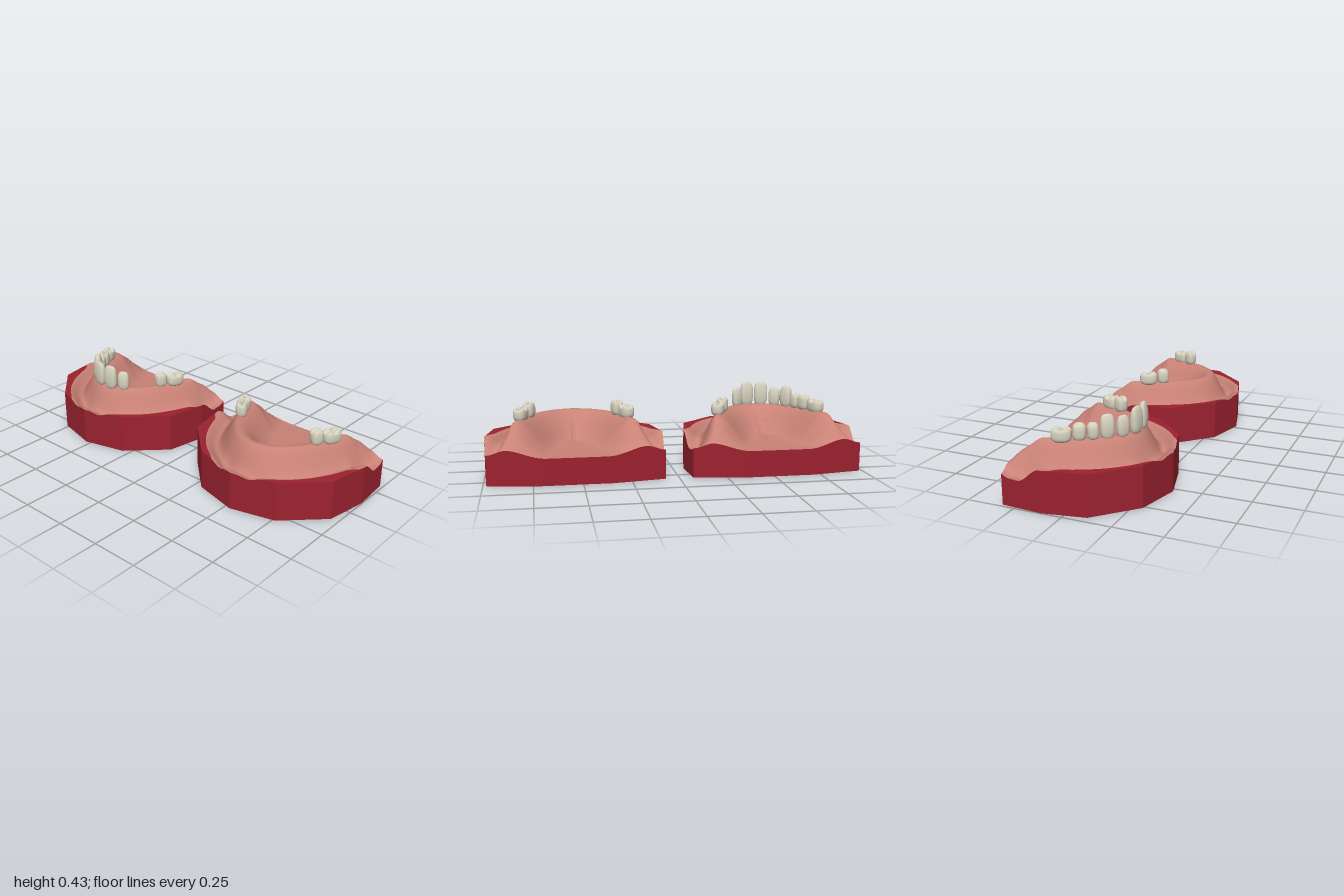
import * as THREE from 'three';

const gumMat = new THREE.MeshStandardMaterial({ color: 0xc98276 });
gumMat.name = 'gum pink';
const baseMat = new THREE.MeshStandardMaterial({ color: 0x9c2230 });
baseMat.name = 'base red';
const toothMat = new THREE.MeshStandardMaterial({ color: 0xd6d1be });
toothMat.name = 'tooth ivory';

const { smoothstep, lerp } = THREE.MathUtils;
const V = (x, y, z) => new THREE.Vector3(x, y, z);

// Half outline of the base block (x, z), front to back, then mirrored
const half = [[0, 0.36], [0.235, 0.3], [0.43, 0.11], [0.47, -0.11], [0.455, -0.32], [0.18, -0.365]];
const outline = [...half, ...half.slice(1).reverse().map(([x, z]) => [-x, z])];

// Crest line of the dental arch, from left back round the front to right back
const arch = [[0.38, -0.46], [0.345, -0.34], [0.315, -0.22], [0.28, -0.11], [0.235, 0], [0.18, 0.085], [0.1, 0.155]];
const crest = new THREE.CatmullRomCurve3([
  ...arch.map(([x, z]) => V(x, 0, z)), V(0, 0, 0.185),
  ...arch.slice().reverse().map(([x, z]) => V(-x, 0, z)),
]).getPoints(140);

// Signed distance from the crest line, positive on the outside of the arch
function archDistance(x, z) {
  let best = Infinity, sign = 1;
  for (let i = 0; i < crest.length - 1; i++) {
    const a = crest[i], b = crest[i + 1];
    const tx = b.x - a.x, tz = b.z - a.z;
    const k = THREE.MathUtils.clamp(((x - a.x) * tx + (z - a.z) * tz) / (tx * tx + tz * tz), 0, 1);
    const dx = x - a.x - tx * k, dz = z - a.z - tz * k;
    const d = Math.hypot(dx, dz);
    if (d < best) {
      best = d;
      sign = dx * tz - dz * tx >= 0 ? 1 : -1;
    }
  }
  return best * sign;
}

// Height of the block's rim: dips either side of the front and drops at the back
function rimHeight(x, z) {
  const front = smoothstep(z, 0.2, 0.3);
  const ax = Math.abs(x);
  const dip = 0.02 * Math.exp(-(((ax - 0.09) / 0.045) ** 2)) + 0.006 * Math.exp(-((x / 0.05) ** 2));
  const back = smoothstep(-z, 0.11, 0.23);
  return 0.21 - front * dip - 0.07 * back + 0.018 * smoothstep(-z, 0.28, 0.33);
}

// Width of the pink surface outside the crest; it reaches the block's edge at front and back
const pinkReach = (x, z) =>
  0.16 + 0.06 * smoothstep(-z, 0.02, 0.14) + (z > 0 ? 0.035 * (1 - smoothstep(Math.abs(x), 0.08, 0.2)) : 0);

// Height of the gum: ridge, outer trough and inner bowl
function gumHeight(x, z, detailed) {
  const d = archDistance(x, z);
  const top = 0.3 - 0.05 * smoothstep(-z, 0.18, 0.27) - 0.08 * smoothstep(-z, 0.25, 0.365);
  if (d > 0) {
    const rim = rimHeight(x, z);
    const trough = rim - 0.038 * (1 - smoothstep(-z, 0.1, 0.28));
    return lerp(lerp(top, trough, smoothstep(d, 0, 0.1)), rim, smoothstep(d, 0.1, 0.165));
  }
  const floor = lerp(0.14, 0.155, smoothstep(z, -0.35, 0.05));
  let y = lerp(top, floor, smoothstep(-d, 0.005, 0.19));
  const inner = smoothstep(-d, 0.05, 0.1);
  const seam = Math.exp(-((x / 0.007) ** 2));
  if (detailed) {
    // Central seam and cross folds of the palate
    const fold = smoothstep(z, -0.04, 0.03) * smoothstep(Math.abs(x), 0.01, 0.04);
    y += inner * (0.004 * fold * Math.sin(z * 160 + Math.abs(x) * 40) - 0.008 * seam * smoothstep(z, -0.12, -0.08));
  } else {
    y -= inner * 0.01 * seam * smoothstep(z, 0, 0.03);
  }
  return y;
}

// Skin between closed loops of equal length
function loft(loops) {
  const n = loops[0].length, index = [];
  for (let i = 0; i < loops.length - 1; i++) {
    for (let j = 0; j < n; j++) {
      const a = i * n + j, b = i * n + ((j + 1) % n);
      index.push(a, a + n, b + n, a, b + n, b);
    }
  }
  const g = new THREE.BufferGeometry();
  g.setAttribute('position', new THREE.Float32BufferAttribute(loops.flat().flatMap((p) => [p.x, p.y, p.z]), 3));
  g.setIndex(index);
  return g;
}

function mesh(name, geometry, material) {
  const m = new THREE.Mesh(geometry, material);
  m.name = name;
  return m;
}

// One cast: gum surface over a faceted block
function makeCast(detailed) {
  const STEPS = 16, RINGS = 56, cz = -0.1;
  const rays = [];
  outline.forEach(([x0, z0], k) => {
    const [x1, z1] = outline[(k + 1) % outline.length];
    for (let s = 0; s < STEPS; s++) {
      const x = lerp(x0, x1, s / STEPS), z = lerp(z0, z1, s / STEPS);
      // Find where the pink surface ends along this ray
      let lo = 0.3, hi = 1;
      const outside = (t) => {
        const px = x * t, pz = lerp(cz, z, t);
        return archDistance(px, pz) > pinkReach(px, pz);
      };
      if (outside(1)) {
        for (let i = 0; i < 16; i++) {
          const mid = (lo + hi) / 2;
          if (outside(mid)) hi = mid; else lo = mid;
        }
      }
      rays.push({ x, z, end: hi });
    }
  });
  const gumLoops = [];
  for (let i = 0; i <= RINGS; i++) {
    gumLoops.push(rays.map((r) => {
      const t = (r.end * i) / RINGS, x = r.x * t, z = lerp(cz, r.z, t);
      return V(x, gumHeight(x, z, detailed), z);
    }));
  }
  const gum = loft(gumLoops);
  gum.computeVertexNormals();

  const edge = gumLoops[RINGS];
  const block = loft([
    edge,
    rays.map((r, j) => V(r.x, r.end < 1 ? rimHeight(r.x, r.z) : edge[j].y, r.z)),
    rays.map((r) => V(r.x, 0, r.z)),
    rays.map(() => V(0, 0, cz)),
  ]).toNonIndexed();
  block.computeVertexNormals();

  const cast = new THREE.Group();
  cast.add(mesh('gumSurface', gum, gumMat), mesh('baseBlock', block, baseMat));
  return cast;
}

// Tooth: a rounded block with optional cusps on top; w runs along the arch
function makeTooth(name, x, z, yaw, w, depth, bottom, top, cusps = 0) {
  const g = new THREE.SphereGeometry(1, 32, 22);
  const p = g.attributes.position;
  const round = (v, e) => Math.sign(v) * Math.abs(v) ** e;
  const h = (top - bottom) / 2;
  for (let i = 0; i < p.count; i++) {
    const y = p.getY(i), r = Math.sqrt(Math.max(0, 1 - y * y));
    const c = r > 1e-6 ? p.getX(i) / r : 0, s = r > 1e-6 ? p.getZ(i) / r : 0;
    const spread = r ** 0.55;
    const px = round(c, 0.75) * spread, pz = round(s, 0.75) * spread;
    let py = round(y, 0.75) * h;
    if (cusps && y > 0) {
      // Crossing grooves divide the chewing surface
      const across = cusps > 2 ? Math.exp(-((px / 0.25) ** 2)) : 0;
      const along = Math.exp(-((pz / 0.28) ** 2));
      py -= 0.016 * Math.max(across, along) * smoothstep(y, 0.3, 0.9);
    }
    const blade = cusps ? 1 : 1 - 0.35 * Math.max(0, y);
    p.setXYZ(i, px * w / 2, py, pz * blade * depth / 2);
  }
  g.computeVertexNormals();
  const m = mesh(name, g, toothMat);
  m.position.set(x, (top + bottom) / 2, z);
  m.rotation.y = yaw;
  return m;
}

const molar = (s) => makeTooth('molar', s * 0.277, -0.095, s * 1.2, 0.1, 0.07, 0.285, 0.362, 4);
const premolar = (s) => makeTooth('premolar', s * 0.235, -0.022, s * 1.1, 0.066, 0.062, 0.29, 0.375, 2);

export function createModel() {
  const model = new THREE.Group();

  const rightCast = makeCast(true);
  rightCast.name = 'rightCast';
  rightCast.position.x = -0.528;
  const leftCast = makeCast(false);
  leftCast.name = 'leftCast';
  leftCast.position.x = 0.528;

  // Back teeth on both casts
  for (const cast of [rightCast, leftCast]) {
    for (const s of [-1, 1]) cast.add(molar(s), premolar(s));
  }
  // Front teeth on the right cast only
  rightCast.add(
    makeTooth('firstPremolar', -0.205, 0.035, -1.0, 0.056, 0.058, 0.292, 0.375, 2),
    makeTooth('canine', -0.165, 0.09, -0.85, 0.07, 0.05, 0.29, 0.412),
    makeTooth('lateralIncisor', -0.112, 0.146, -0.55, 0.064, 0.042, 0.29, 0.397),
    makeTooth('centralIncisor', -0.042, 0.185, -0.18, 0.078, 0.045, 0.29, 0.426),
    makeTooth('centralIncisor', 0.042, 0.185, 0.18, 0.078, 0.045, 0.29, 0.426),
    makeTooth('lateralIncisor', 0.108, 0.15, 0.55, 0.064, 0.042, 0.29, 0.397),
  );

  model.add(rightCast, leftCast);
  return model;
}
